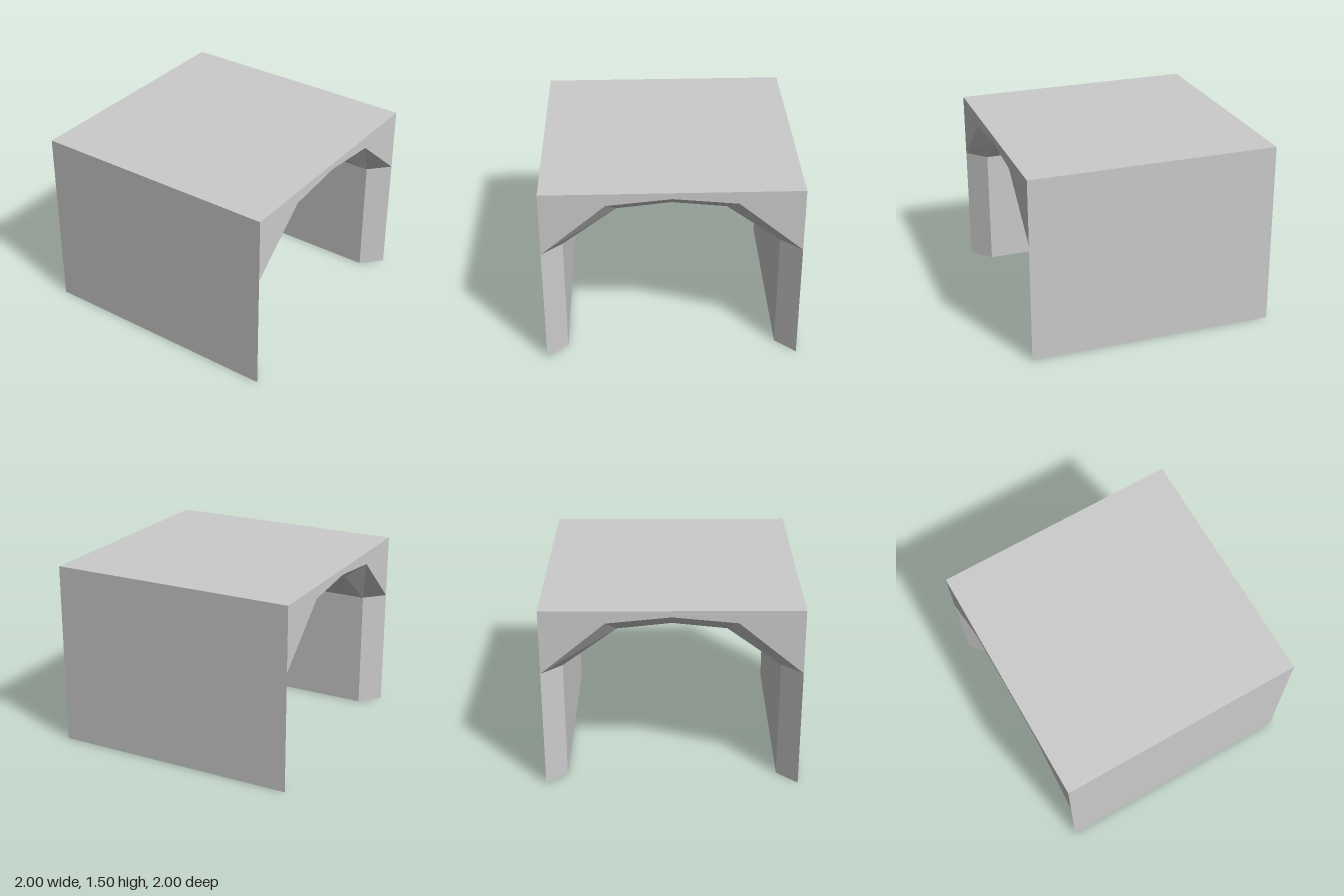
import * as THREE from 'three';

// Mirrors the left half of a profile [x, y] onto the right side
const mirror = (half) => [...half, ...half.slice(0, -1).reverse().map(([x, y]) => [-x, y])];

export function createModel() {
  const group = new THREE.Group();
  const material = new THREE.MeshStandardMaterial({ color: 0xcccccc, flatShading: true });

  // Profiles run from the left foot over the top to the right foot
  const shell = mirror([[-1, 0], [-1, 1.5], [-0.5, 1.5], [0, 1.5]]);
  const mouth = mirror([[-1, 0], [-1, 0.98], [-0.5, 1.4], [0, 1.45]]);
  const tunnel = mirror([[-0.84, 0], [-0.84, 0.98], [-0.42, 1.29], [0, 1.335]]);
  const at = (profile, z) => profile.map(([x, y]) => [x, y, z]);

  const addPart = (name, quads) => {
    const positions = quads.flatMap(([a, b, c, d]) => [a, b, c, a, c, d]).flat();
    const geometry = new THREE.BufferGeometry();
    geometry.setAttribute('position', new THREE.Float32BufferAttribute(positions, 3));
    geometry.computeVertexNormals();
    const mesh = new THREE.Mesh(geometry, material);
    mesh.name = name;
    group.add(mesh);
  };

  // Strip of quads joining two profiles
  const strip = (p, q, from = 0, to = p.length - 1) => {
    const quads = [];
    for (let i = from; i < to; i++) quads.push([p[i], q[i], q[i + 1], p[i + 1]]);
    return quads;
  };

  const frontMouth = at(mouth, 1), backMouth = at(mouth, -1);
  const frontTunnel = at(tunnel, 0.85), backTunnel = at(tunnel, -0.85);

  // Outer walls and flat roof
  addPart('outerShell', strip(at(shell, -1), at(shell, 1)));
  // Flat end faces above the arch
  addPart('frontFace', strip(at(shell, 1), frontMouth, 1, 5));
  addPart('backFace', strip(backMouth, at(shell, -1), 1, 5));
  // Splayed openings and the passage between them
  addPart('frontBevel', strip(frontMouth, frontTunnel));
  addPart('innerVault', strip(frontTunnel, backTunnel));
  addPart('backBevel', strip(backTunnel, backMouth));
  // Undersides of the two walls
  const foot = (i) => [frontMouth[i], frontTunnel[i], backTunnel[i], backMouth[i]];
  addPart('rightFoot', [foot(0).reverse()]);
  addPart('leftFoot', [foot(6)]);

  return group;
}
